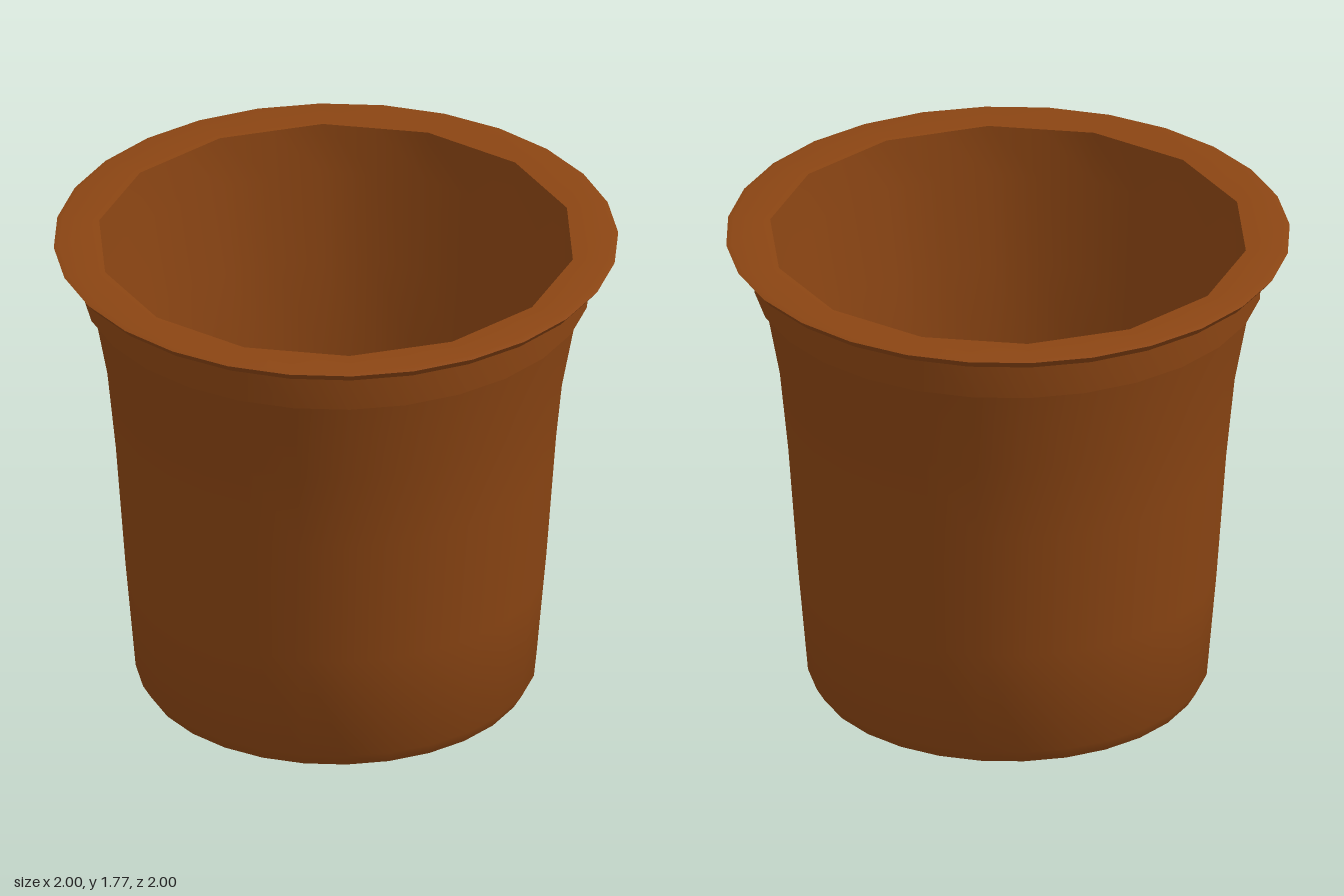
import * as THREE from 'three';
import { toCreasedNormals } from 'three/addons/utils/BufferGeometryUtils.js';

const SIDES = 28;

// Lathe a list of [radius, height] pairs, keeping sharp folds crisp
function turned(name, profile, material, adjust) {
  const points = profile.map(([r, y]) => new THREE.Vector2(r, y));
  const geometry = new THREE.LatheGeometry(points, SIDES);
  if (adjust) {
    const pos = geometry.attributes.position;
    for (let i = 0; i < pos.count; i++) {
      const side = Math.floor(i / points.length) % SIDES;
      const k = adjust(side, i % points.length);
      pos.setX(i, pos.getX(i) * k);
      pos.setZ(i, pos.getZ(i) * k);
    }
  }
  const mesh = new THREE.Mesh(toCreasedNormals(geometry, 0.6), material);
  mesh.name = name;
  return mesh;
}

export function createModel() {
  const group = new THREE.Group();
  group.name = 'flowerPot';
  const clay = new THREE.MeshStandardMaterial({ color: 0x8b4513 });

  // The mouth is coarser than the body: every second corner sits on a chord
  const chord = Math.cos(Math.PI / (SIDES / 2));
  const flatten = (side) => (side % 2 ? chord : 1);

  // Tapered outside wall with a rounded foot
  group.add(turned('outerWall', [
    [0, 0], [0.63, 0], [0.68, 0.02], [0.71, 0.07], [0.745, 0.47],
    [0.78, 0.95], [0.81, 1.25], [0.87, 1.575],
  ], clay));

  // Collar band below the rim
  group.add(turned('collar', [[0.87, 1.575], [0.9, 1.575], [0.905, 1.72]], clay));

  // Wide flat lip, ending at the faceted mouth
  group.add(turned('rim', [
    [0.905, 1.72], [0.975, 1.735], [1, 1.765], [0.98, 1.77], [0.85, 1.765],
  ], clay, (side, row) => (row === 4 ? flatten(side) : 1)));

  // Inside wall
  group.add(turned('innerWall', [
    [0.85, 1.765], [0.835, 1.58], [0.785, 1.25], [0.75, 0.9], [0.715, 0.45], [0.68, 0.07],
  ], clay, (side, row) => (row < 2 ? flatten(side) : 1)));

  // Inside floor
  group.add(turned('floor', [[0.68, 0.07], [0, 0.07]], clay));

  return group;
}
